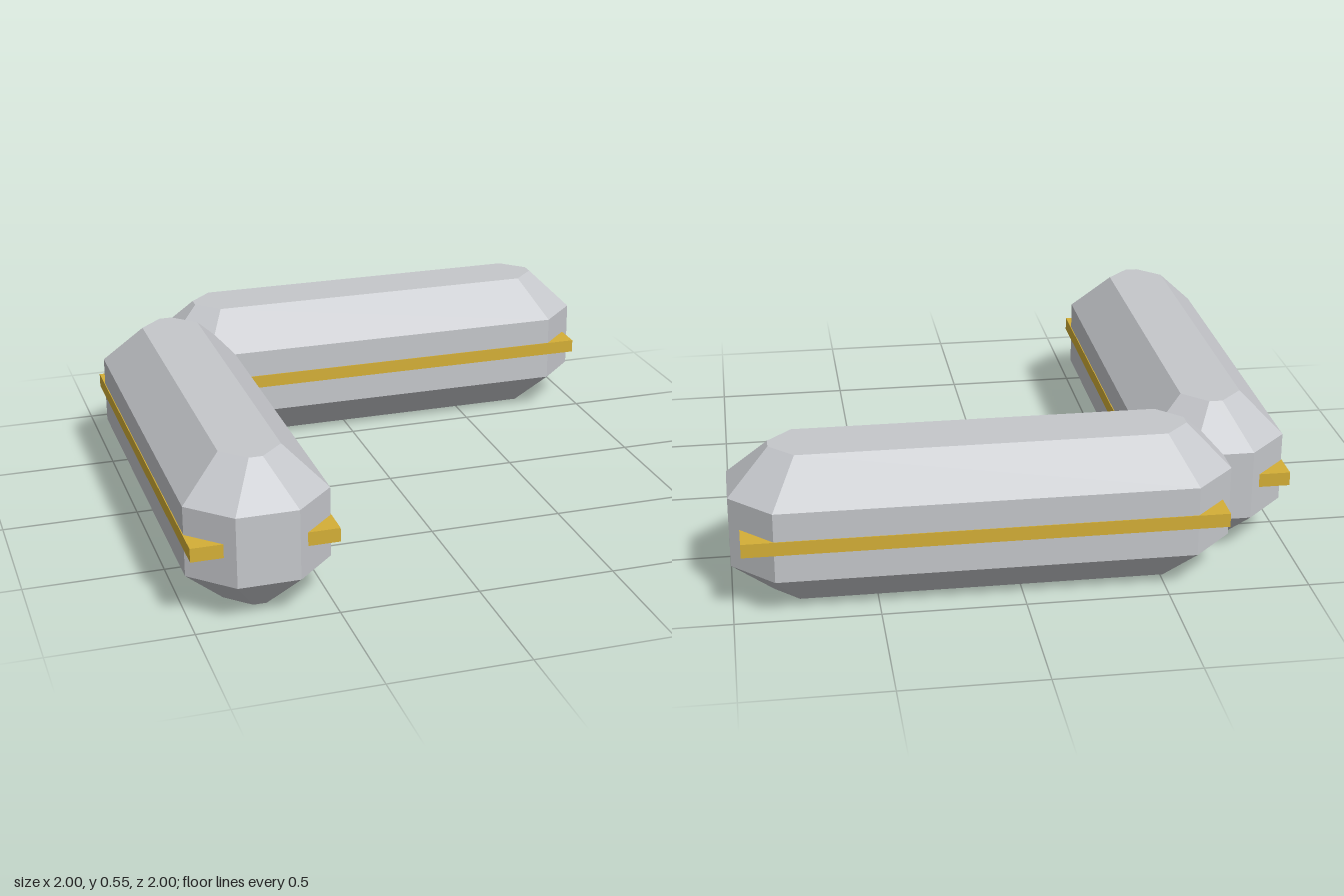
import * as THREE from 'three';
import { ConvexGeometry } from 'three/addons/geometries/ConvexGeometry.js';

const HALF_LENGTH = 0.87, HALF_WIDTH = 0.254, HEIGHT = 0.545, BEVEL = 0.145;

// Rectangle with cut corners, at height y
function octagon(hx, hz, cut, y) {
  const points = [];
  for (const sx of [-1, 1]) for (const sz of [-1, 1]) {
    points.push(new THREE.Vector3(sx * hx, y, sz * (hz - cut)));
    points.push(new THREE.Vector3(sx * (hx - cut), y, sz * hz));
  }
  return points;
}

// One bevelled bar along x, with a thin trim plate through its middle
function createBar(name, silver, gold) {
  const bar = new THREE.Group();
  bar.name = name;

  const inner = [HALF_LENGTH - BEVEL, HALF_WIDTH - BEVEL, 0.085];
  const outer = [HALF_LENGTH, HALF_WIDTH, BEVEL];
  const body = new THREE.Mesh(new ConvexGeometry([
    ...octagon(...inner, 0),
    ...octagon(...outer, BEVEL),
    ...octagon(...outer, HEIGHT - BEVEL),
    ...octagon(...inner, HEIGHT),
  ]), silver);
  body.name = 'barBody';

  const trim = new THREE.Mesh(new THREE.BoxGeometry(1.67, 0.05, 0.514), gold);
  trim.name = 'trimPlate';
  trim.position.y = HEIGHT / 2;

  bar.add(body, trim);
  return bar;
}

export function createModel() {
  const silver = new THREE.MeshStandardMaterial({ color: 0xc5c7cb });
  silver.name = 'silver';
  const gold = new THREE.MeshStandardMaterial({ color: 0xd4af37 });
  gold.name = 'gold';

  const model = new THREE.Group();
  model.name = 'cornerBars';

  // Rear bar runs across the back
  const rearBar = createBar('rearBar', silver, gold);
  rearBar.position.set(0.13, 0, -0.743);

  // Side bar runs front to back on the model's right
  const sideBar = createBar('sideBar', silver, gold);
  sideBar.rotation.y = Math.PI / 2;
  sideBar.position.set(-0.743, 0, 0.13);

  model.add(rearBar, sideBar);
  return model;
}
